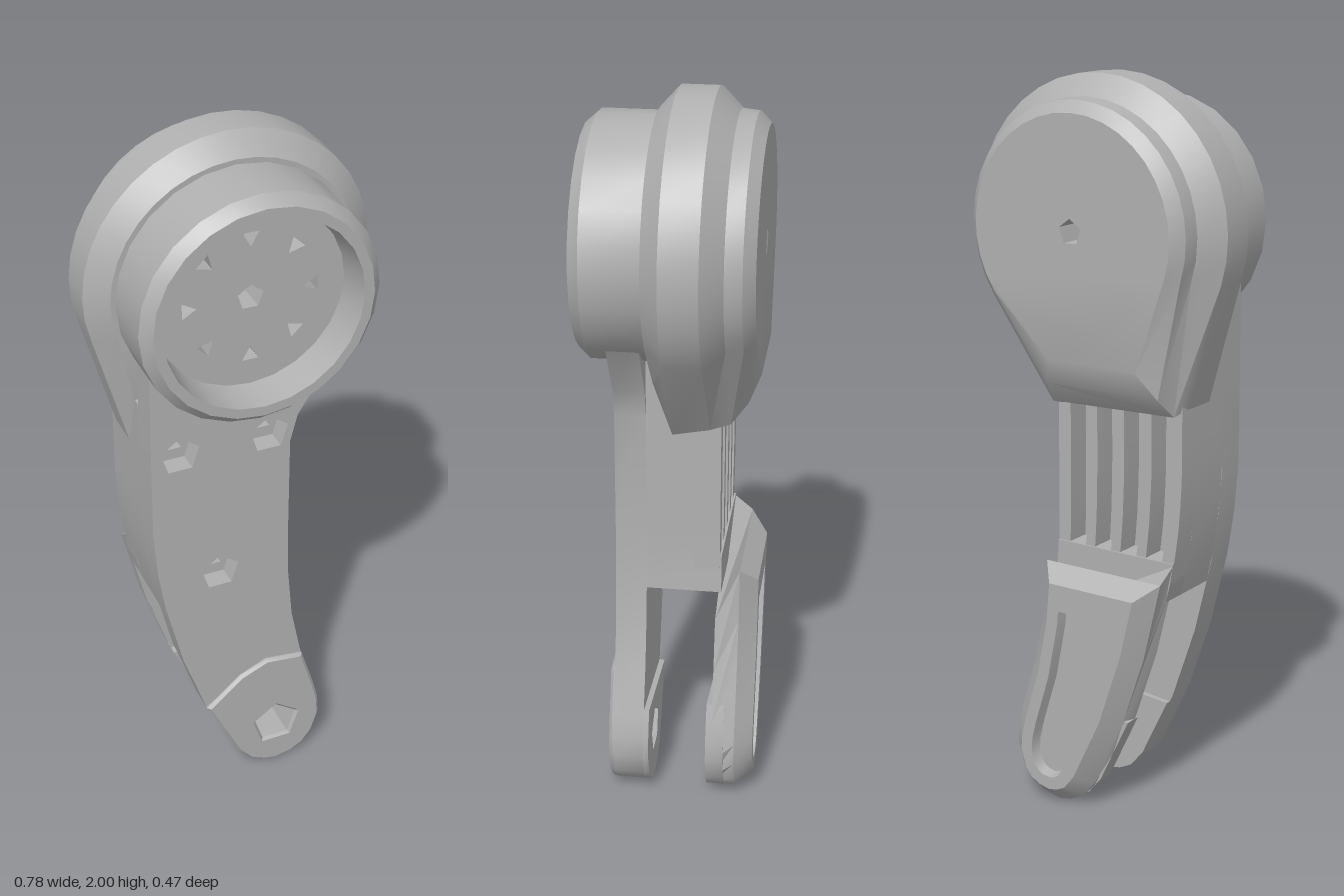
import * as THREE from 'three';
import { mergeGeometries, toCreasedNormals } from 'three/addons/utils/BufferGeometryUtils.js';

const V = (x, y) => new THREE.Vector2(x, y);
const toV = (list) => list.map(([x, y]) => V(x, y));

// Arm silhouette: left edge going down, rounded tip, right edge going up
const LEFT = toV([[-0.28, 1.2], [-0.28, 0.95], [-0.27, 0.82], [-0.25, 0.69], [-0.2, 0.48], [-0.13, 0.27], [-0.04, 0.08]]);
const TIP = toV([[0, 0.03], [0.04, 0.01], [0.08, 0.002], [0.13, 0.012], [0.17, 0.035], [0.2, 0.075]]);
const RIGHT = toV([[0.22, 0.14], [0.215, 0.2], [0.2, 0.26], [0.157, 0.4], [0.127, 0.55], [0.112, 0.72], [0.11, 0.85], [0.11, 1.15]]);
const HEAD_Y = 1.61;

// x of an edge at height y
function edgeX(edge, y) {
  const p = [...edge].sort((a, b) => a.y - b.y);
  if (y <= p[0].y) return p[0].x;
  for (let i = 1; i < p.length; i++) {
    if (y <= p[i].y) return THREE.MathUtils.mapLinear(y, p[i - 1].y, p[i].y, p[i - 1].x, p[i].x);
  }
  return p[p.length - 1].x;
}

// Lower arm outline, cut at the given heights on each side (counter-clockwise)
function tipOutline(topL, topR, extra = []) {
  return [V(edgeX(LEFT, topL), topL), ...LEFT.filter((p) => p.y < topL - 0.01), ...TIP,
    ...RIGHT.filter((p) => p.y < topR - 0.01), V(edgeX(RIGHT, topR), topR), ...toV(extra)];
}

// Part of the arm's width between fractions u0 and u1
function strip(u0, u1, yBottom, yTop) {
  const a = [], b = [];
  for (let i = 0; i <= 8; i++) {
    const y = THREE.MathUtils.lerp(yTop, yBottom, i / 8);
    const l = edgeX(LEFT, y), w = edgeX(RIGHT, y) - l;
    a.push(V(l + w * u0, y));
    b.unshift(V(l + w * u1, y));
  }
  return [...a, ...b];
}

// Move an outline inward by d
function inset(pts, d) {
  const n = pts.length;
  return pts.map((p, i) => {
    const e0 = p.clone().sub(pts[(i + n - 1) % n]).normalize();
    const e1 = pts[(i + 1) % n].clone().sub(p).normalize();
    const n0 = V(-e0.y, e0.x), n1 = V(-e1.y, e1.x);
    const k = d / Math.max(0.4, 1 + n0.dot(n1));
    return V(p.x + (n0.x + n1.x) * k, p.y + (n0.y + n1.y) * k);
  });
}

const polygon = (x, y, r, sides, turn = 0) => Array.from({ length: sides }, (_, i) => {
  const a = turn + i * Math.PI * 2 / sides;
  return V(x + r * Math.cos(a), y + r * Math.sin(a));
});

function makeShape(pts, holes = []) {
  const s = new THREE.Shape(pts);
  s.holes = holes.map((h) => new THREE.Path(h));
  return s;
}

function slab(pts, z0, z1, holes = [], bevel = 0) {
  const g = new THREE.ExtrudeGeometry(makeShape(pts, holes), {
    depth: z1 - z0 - 2 * bevel, bevelEnabled: bevel > 0, bevelSize: bevel,
    bevelThickness: bevel, bevelOffset: -bevel, bevelSegments: 1,
  });
  return g.translate(0, 0, z0 + bevel);
}

// Skin over outlines ordered from front to back, capped at both ends
function loft(levels, holes = []) {
  const pos = [], n = levels[0].pts.length;
  for (let k = 0; k + 1 < levels.length; k++) {
    const A = levels[k], B = levels[k + 1];
    for (let i = 0; i < n; i++) {
      const j = (i + 1) % n;
      const put = (L, m) => pos.push(L.pts[m].x, L.pts[m].y, L.z);
      put(B, i); put(B, j); put(A, i);
      put(B, j); put(A, j); put(A, i);
    }
  }
  const skin = new THREE.BufferGeometry();
  skin.setAttribute('position', new THREE.Float32BufferAttribute(pos, 3));
  const cap = (L, flip) => {
    const g = new THREE.ShapeGeometry(makeShape(L.pts, holes)).translate(0, 0, L.z);
    if (flip) g.setIndex([...g.index.array].reverse());
    const flat = g.toNonIndexed();
    flat.deleteAttribute('normal');
    flat.deleteAttribute('uv');
    return flat;
  };
  return mergeGeometries([cap(levels[0], false), skin, cap(levels[levels.length - 1], true)]);
}

// Teardrop: head circle running down to two points on the arm
function teardrop(r, left, right) {
  const pts = [];
  for (let i = 0; i <= 24; i++) {
    const a = THREE.MathUtils.degToRad(-36 + i * (234 / 24));
    pts.push(V(r * Math.cos(a), HEAD_Y + r * Math.sin(a)));
  }
  return [...pts, ...toV([left, right])];
}

export function createModel() {
  const group = new THREE.Group();
  const grey = new THREE.MeshStandardMaterial({ color: 0xb0b0b0 });
  grey.name = 'grey';
  const greyOpen = grey;
  const add = (name, geo, crease = 0.45) => {
    const mesh = new THREE.Mesh(toCreasedNormals(geo, crease), greyOpen);
    mesh.name = name;
    group.add(mesh);
    return mesh;
  };
  const up = Math.PI / 2;
  const axle = polygon(0, HEAD_Y, 0.036, 5, 0.3);
  const pivot = polygon(0.08, 0.15, 0.066, 5, up);

  // Head: flange and rear cover in one chamfered skin
  add('headHousing', loft([
    { z: 0.05, pts: teardrop(0.335, [-0.265, 1.25], [0.12, 1.25]) },
    { z: 0.0, pts: teardrop(0.39, [-0.28, 1.16], [0.11, 1.1]) },
    { z: -0.1, pts: teardrop(0.39, [-0.28, 1.16], [0.11, 1.12]) },
    { z: -0.155, pts: teardrop(0.335, [-0.27, 1.15], [0.11, 1.14]) },
    { z: -0.2, pts: teardrop(0.33, [-0.25, 1.2], [0.1, 1.2]) },
    { z: -0.23, pts: teardrop(0.3, [-0.2, 1.27], [0.07, 1.27]) },
  ], [axle]));

  // Front cup
  const rim = toV([[0.322, 0.04], [0.322, 0.205], [0.295, 0.235], [0.268, 0.235], [0.255, 0.135]]);
  add('cupRing', new THREE.LatheGeometry(rim, 24).rotateX(up).translate(0, HEAD_Y, 0));
  const pits = [];
  for (let i = 0; i < 8; i++) {
    const a = i * Math.PI / 4;
    pits.push(polygon(0.17 * Math.cos(a), HEAD_Y + 0.17 * Math.sin(a), 0.026, 3, a + Math.PI));
  }
  const disc = polygon(0, HEAD_Y, 0.262, 24);
  add('cupFloor', slab(disc, 0.09, 0.14, [axle, ...pits]));
  add('cupFloorBacking', slab(disc, 0.04, 0.09, [axle]));
  add('axleBore', slab(polygon(0, HEAD_Y, 0.06, 5, 0.3), -0.225, 0.045, [axle]));

  // Front plate of the arm, its top hollowed to meet the cup ring
  const saddle = [[0.13, 1.23], [0.25, 1.42]];
  for (let i = 0; i <= 12; i++) {
    const a = THREE.MathUtils.degToRad(-38 - i * 10);
    saddle.push([0.3 * Math.cos(a), HEAD_Y + 0.3 * Math.sin(a)]);
  }
  const screws = [[-0.2, 1.19], [0.05, 1.19], [-0.09, 0.77]];
  add('armFrontPlate', slab(tipOutline(1.2, 1.15, saddle), 0.07, 0.155,
    [pivot, ...screws.map(([x, y]) => polygon(x, y, 0.056, 5, up))]));
  // Small collars inside the screw recesses
  for (const [x, y] of screws) {
    add('screwCollar', slab(polygon(x, y, 0.056, 5, up), 0.065, 0.1, [polygon(x, y, 0.028, 3, up)]));
  }

  // Arm core, with long ribs on the back
  add('armCore', slab(strip(0, 1, 0.635, 1.32), -0.06, 0.07));
  add('forkRoot', slab(strip(0, 1, 0.635, 0.745), -0.135, -0.06));
  const ribs = [[0, 0.1], [0.24, 0.32], [0.46, 0.54], [0.68, 0.76], [0.9, 1]];
  for (const [u0, u1] of ribs) add('rib', slab(strip(u0, u1, 0.7, 1.25), -0.13, -0.06));

  // Bosses around the pivot of the front prong
  add('frontBoss', slab(tipOutline(0.28, 0.39, [[0.05, 0.405], [-0.03, 0.37]]), 0.145, 0.167, [pivot], 0.008));
  add('frontInnerBoss', slab(tipOutline(0.25, 0.28), 0.055, 0.07, [pivot]));

  // Rear prong, chamfered, with a recessed panel on each face
  const prong = (top, d) => inset(tipOutline(top, top), d);
  add('rearProng', loft([
    { z: -0.15, pts: prong(0.66, 0.055) },
    { z: -0.13, pts: prong(0.66, 0.05) },
    { z: -0.13, pts: prong(0.66, 0) },
    { z: -0.12, pts: prong(0.75, 0) },
    { z: -0.185, pts: prong(0.7, 0) },
    { z: -0.233, pts: prong(0.7, 0.045) },
    { z: -0.233, pts: prong(0.66, 0.08) },
    { z: -0.205, pts: prong(0.66, 0.088) },
  ]), 0.4);
  add('rearInnerBoss', slab(tipOutline(0.27, 0.31), -0.155, -0.105, [pivot]));

  return group;
}
